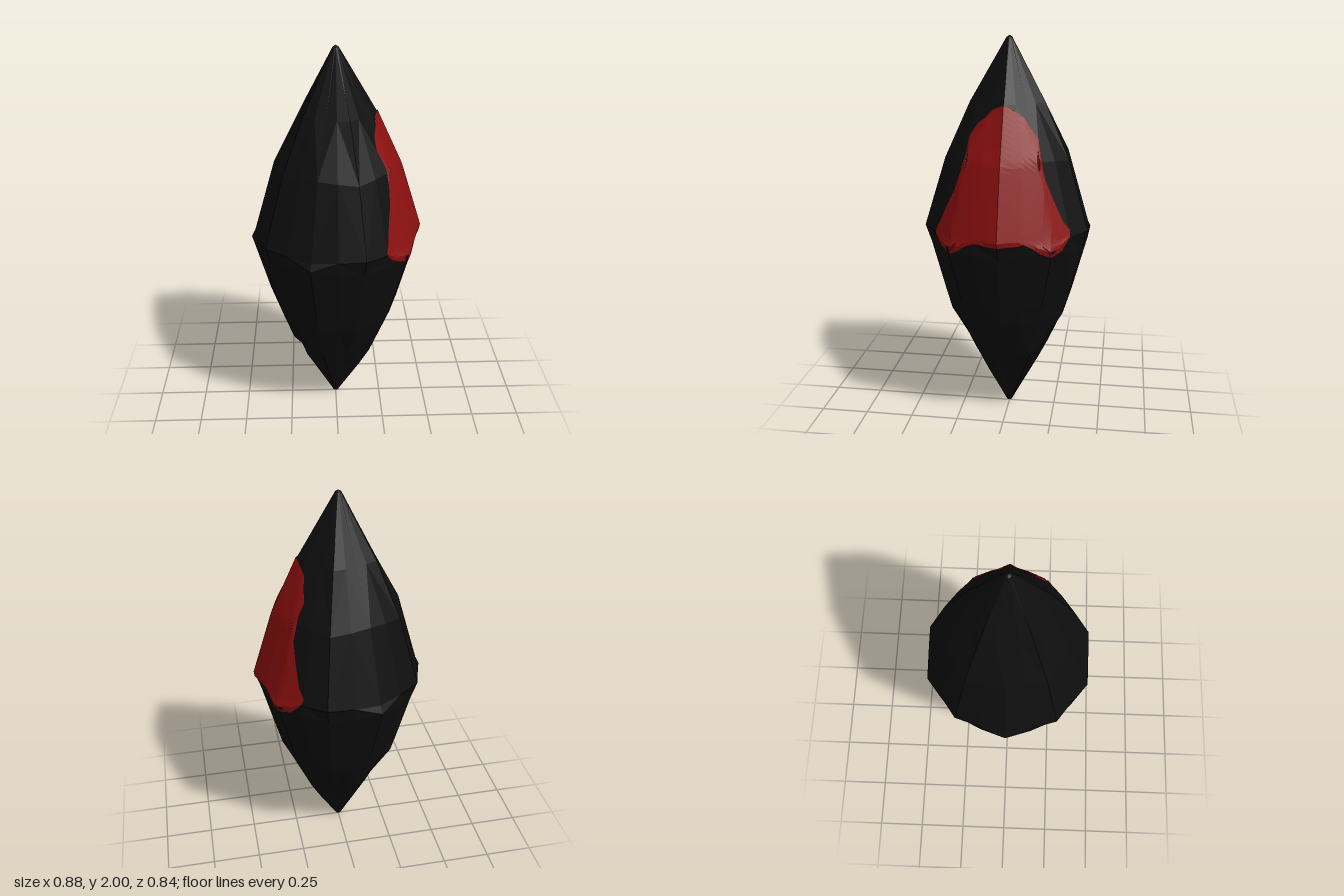
import * as THREE from 'three';

// Surface from a grid of points: columns run left, rows run down
function gridGeometry(columns) {
  const rows = columns[0].length;
  const index = [];
  for (let j = 0; j < columns.length - 1; j++) {
    for (let i = 0; i < rows - 1; i++) {
      const a = j * rows + i, b = a + 1, c = a + rows, d = c + 1;
      // alternate the diagonals so neighbouring facets mirror each other
      if (j % 2) index.push(a, c, d, a, d, b);
      else index.push(a, c, b, c, d, b);
    }
  }
  const geometry = new THREE.BufferGeometry().setFromPoints(columns.flat());
  geometry.setIndex(index);
  geometry.computeVertexNormals();
  return geometry;
}

// Profiles as [radius, height], alternating around the equator
const highProfile = [
  [0, 2], [0.015, 1.99], [0.2, 1.68], [0.33, 1.4], [0.44, 1.05], [0.41, 0.96],
  [0.34, 0.69], [0.31, 0.58], [0.19, 0.37], [0.18, 0.355], [0.125, 0.25], [0.015, 0.01], [0, 0],
];
const lowProfile = [
  [0, 2], [0.015, 1.99], [0.17, 1.68], [0.31, 1.42], [0.42, 1.04], [0.44, 1.0],
  [0.35, 0.69], [0.31, 0.58], [0.225, 0.37], [0.218, 0.355], [0.16, 0.25], [0.015, 0.01], [0, 0],
];
// Between the ribs the facets lie slightly further in
const midProfile = highProfile.map(([r, y], i) => [
  (r + lowProfile[i][0]) / 2 * 0.97, (y + lowProfile[i][1]) / 2,
]);

function bodyGeometry() {
  const columns = [];
  for (let j = 0; j <= 20; j++) {
    const angle = j * Math.PI / 10;
    const profile = j % 2 ? midProfile : j % 4 ? lowProfile : highProfile;
    columns.push(profile.map(([r, y], i) => {
      // small chipped ledge low on one rib
      const radius = j === 10 && i === 8 ? 0.232 : j === 10 && i === 9 ? 0.2 : r;
      return new THREE.Vector3(Math.cos(angle) * radius, y, Math.sin(angle) * radius);
    }));
  }
  return gridGeometry(columns);
}

// Ragged patch outline as [z, top, bottom]
const patchOutline = [
  [-0.335, 1.08, 1.05], [-0.3, 1.13, 0.99], [-0.25, 1.24, 0.97], [-0.21, 1.34, 0.99],
  [-0.185, 1.45, 1.01], [-0.17, 1.52, 1.02], [-0.125, 1.58, 1.045], [-0.1, 1.62, 1.035],
  [-0.06, 1.65, 1.035], [0, 1.68, 1.03], [0.05, 1.66, 1.03], [0.09, 1.62, 1.04],
  [0.13, 1.59, 1.035], [0.17, 1.53, 1.015], [0.185, 1.44, 1.005], [0.21, 1.36, 0.985],
  [0.24, 1.27, 0.97], [0.28, 1.19, 0.98], [0.32, 1.1, 1.01], [0.34, 1.06, 1.04],
];

// Drape the patch over the side of the body
function patchGeometry(body) {
  const ray = new THREE.Raycaster();
  const inward = new THREE.Vector3(-1, 0, 0);
  const columns = patchOutline.map(([z, top, bottom]) => {
    const column = [];
    for (let i = 0; i <= 24; i++) {
      const point = new THREE.Vector3(1, THREE.MathUtils.lerp(top, bottom, i / 24), z);
      ray.set(point, inward);
      const hit = ray.intersectObject(body)[0];
      point.x = (hit ? hit.point.x : 0.25) + 0.006;
      column.push(point);
    }
    return column;
  });
  return gridGeometry(columns);
}

export function createModel() {
  const black = new THREE.MeshStandardMaterial({ color: 0x0e0e0e, flatShading: true });
  black.name = 'black';
  const red = new THREE.MeshStandardMaterial({ color: 0x8b0f0f, flatShading: true, side: THREE.DoubleSide });
  red.name = 'darkRed';

  const group = new THREE.Group();
  group.name = 'facetedCrystal';

  const body = new THREE.Mesh(bodyGeometry(), black);
  body.name = 'crystalBody';
  group.add(body);

  const patch = new THREE.Mesh(patchGeometry(body), red);
  patch.name = 'redFacePatch';
  group.add(patch);

  return group;
}
